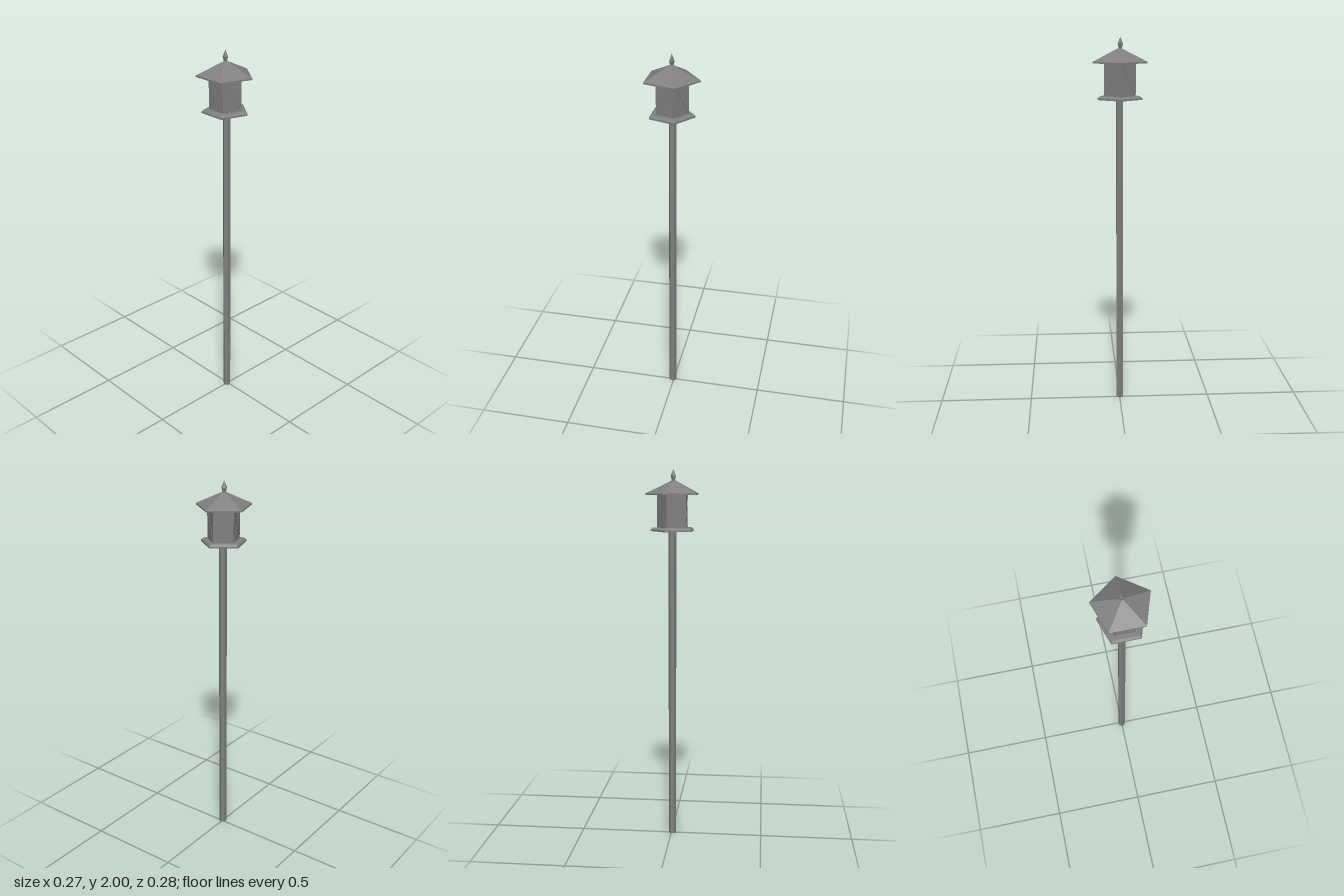
import * as THREE from 'three';

const material = new THREE.MeshStandardMaterial({ color: 0x808080, flatShading: true });

// Faceted turned solid from [radius, y] pairs, with a corner towards +x
function turned(name, points, sides, x, z = 0) {
  const profile = points.map(([r, y]) => new THREE.Vector2(r, y));
  const geometry = new THREE.LatheGeometry(profile, sides, Math.PI / 2).toNonIndexed();
  geometry.computeVertexNormals();
  const mesh = new THREE.Mesh(geometry, material);
  mesh.name = name;
  mesh.position.set(x, 0, z);
  return mesh;
}

export function createModel() {
  const group = new THREE.Group();
  group.name = 'lampPost';

  // Six-sided pole
  group.add(turned('pole', [[0, 0], [0.0205, 0], [0.0205, 1.69], [0, 1.69]], 6, -0.006));

  // Five-sided lantern: base plate, body, overhanging roof with a hollow underside
  group.add(turned('lanternBase',
    [[0, 1.679], [0.123, 1.679], [0.123, 1.688], [0.111, 1.697], [0, 1.704]], 5, -0.0125));
  const bodyX = -0.0105, bodyR = 0.087, bodyBottom = 1.695, bodyTop = 1.89;
  group.add(turned('lanternBody',
    [[0, bodyBottom], [bodyR, bodyBottom], [bodyR, bodyTop], [0, bodyTop]], 5, bodyX));
  group.add(turned('roof',
    [[0, 1.885], [0.085, 1.885], [0.145, 1.867], [0.1487, 1.867], [0.1487, 1.875],
      [0.006, 1.943], [0, 1.943]], 5, -0.0138));

  // Thin crossed bars on every lantern pane
  const bars = new THREE.Group();
  bars.name = 'paneBars';
  bars.position.set(bodyX, 1.785, 0);
  const width = 2 * bodyR * Math.sin(Math.PI / 5) - 0.012;
  const height = 0.165;
  const barGeometry = new THREE.BoxGeometry(0.003, Math.hypot(width, height), 0.003);
  for (let i = 0; i < 5; i++) {
    const pane = new THREE.Group();
    pane.name = 'pane' + (i + 1);
    pane.rotation.y = Math.PI / 2 + (i + 0.5) * Math.PI * 2 / 5;
    for (const side of [-1, 1]) {
      const bar = new THREE.Mesh(barGeometry, material);
      bar.name = 'crossBar';
      bar.position.z = bodyR * Math.cos(Math.PI / 5);
      bar.rotation.z = side * Math.atan2(width, height);
      pane.add(bar);
    }
    bars.add(pane);
  }
  group.add(bars);

  // Pointed finial
  group.add(turned('finial',
    [[0, 1.933], [0.007, 1.933], [0.0145, 1.965], [0, 2]], 5, -0.0112, -0.0035));

  return group;
}
